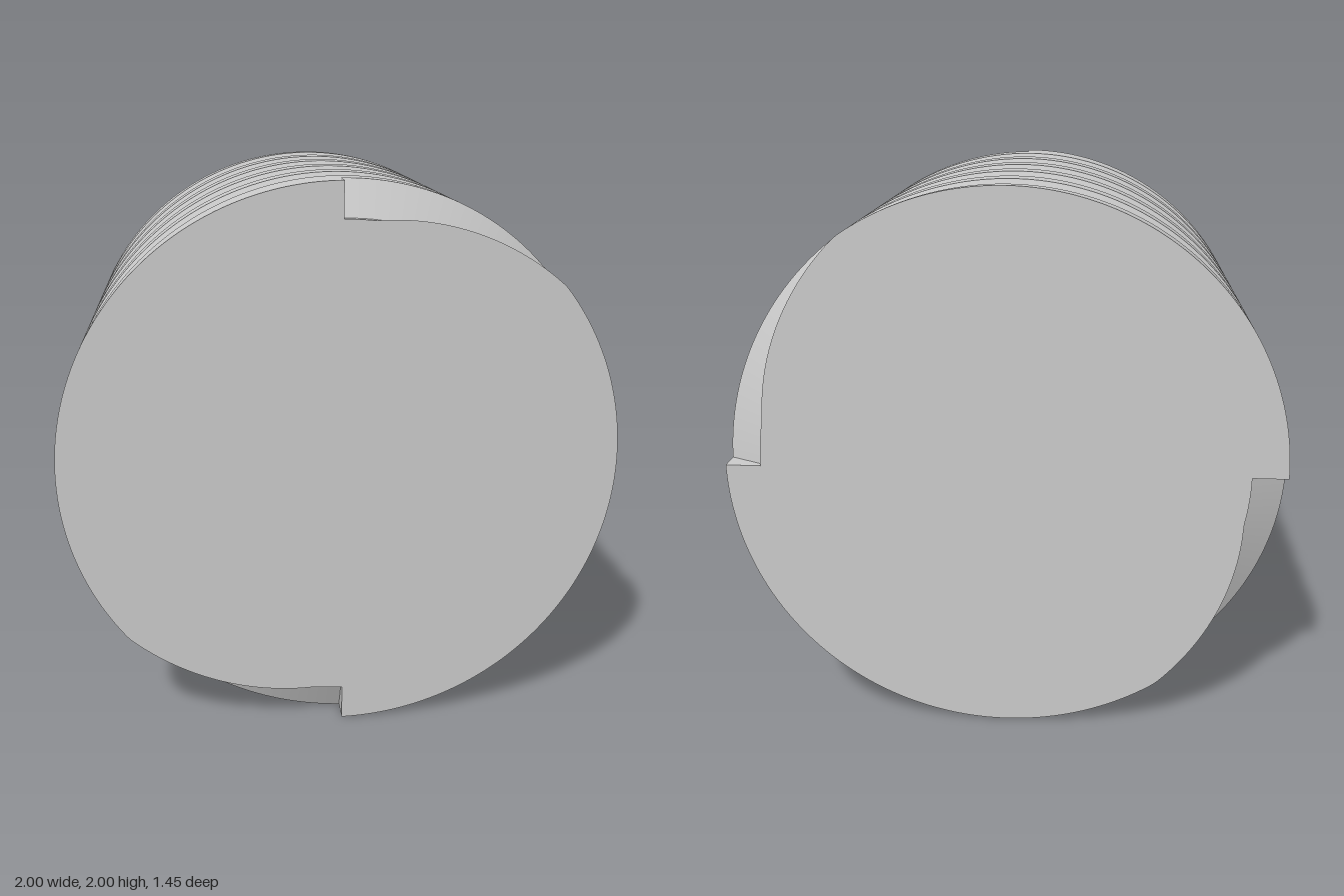
import * as THREE from 'three';
import { toCreasedNormals } from 'three/addons/utils/BufferGeometryUtils.js';

const H = 0.725;        // half length along z
const CREST = 1;        // outer radius
const ROOT = 0.873;     // radius at the groove floor
const PITCH = 0.262;    // distance between neighbouring grooves (two starts)
const TOP_W = 0.082;    // half width of a groove at the crest
const FLOOR_W = 0.018;  // half width of a groove at its floor
const START = 0.717;    // z of the groove centre where it starts
const STEPS = 64;       // steps per quarter turn

const clamp = THREE.MathUtils.clamp;
const centre = (k, phi) => START - PITCH * (k + phi / Math.PI);

// Radius of the body at a given z, with the first `count` grooves cut in
function radiusAt(z, phi, count) {
  let r = CREST;
  for (let k = 0; k < count; k++) {
    const t = clamp((TOP_W - Math.abs(z - centre(k, phi))) / (TOP_W - FLOOR_W), 0, 1);
    r = Math.min(r, CREST - (CREST - ROOT) * t);
  }
  return r;
}

// The four corners of one groove, clipped to the ends of the body
function grooveCorners(k, phi, count) {
  return [TOP_W, FLOOR_W, -FLOOR_W, -TOP_W].map((d) => {
    const z = clamp(centre(k, phi) + d, -H, H);
    return { z, r: radiusAt(z, phi, count) };
  });
}

// Lengthwise section of the surface, from front to back
function section(phi, count) {
  const pts = [{ z: H, r: radiusAt(H, phi, count) }];
  for (let k = 0; k < count; k++) pts.push(...grooveCorners(k, phi, count));
  pts.push({ z: -H, r: radiusAt(-H, phi, count) });
  return pts;
}

// phi runs clockwise from the top, seen from the front
const place = ({ z, r }, phi) => new THREE.Vector3(r * Math.sin(phi), 1 + r * Math.cos(phi), z);

// Collects triangles and skips the collapsed ones
function makeSurface() {
  const pos = [];
  const u = new THREE.Vector3(), v = new THREE.Vector3();
  return {
    tri(a, b, c) {
      if (u.subVectors(b, a).cross(v.subVectors(c, a)).length() < 1e-8) return;
      for (const p of [a, b, c]) pos.push(p.x, p.y, p.z);
    },
    mesh(name, material) {
      const g = new THREE.BufferGeometry();
      g.setAttribute('position', new THREE.Float32BufferAttribute(pos, 3));
      const mesh = new THREE.Mesh(toCreasedNormals(g, Math.PI / 6), material);
      mesh.name = name;
      return mesh;
    },
  };
}

export function createModel() {
  const group = new THREE.Group();
  group.name = 'threadedPlug';
  const material = new THREE.MeshStandardMaterial({ color: 0xcccccc });
  const thread = makeSurface(), ends = makeSurface(), stops = makeSurface();
  const frontMid = new THREE.Vector3(0, 1, H), backMid = new THREE.Vector3(0, 1, -H);

  // Flat wall closing a groove where it stops
  function stopWall(k, phi, turn, count, flip) {
    const low = grooveCorners(k, phi, count);
    for (let i = 0; i < 3; i++) {
      const a = place(low[i], phi + turn), b = place(low[i + 1], phi + turn);
      const A = place({ z: low[i].z, r: CREST }, phi + turn);
      const B = place({ z: low[i + 1].z, r: CREST }, phi + turn);
      if (flip) { stops.tri(a, A, b); stops.tri(A, B, b); }
      else { stops.tri(a, b, A); stops.tri(A, b, B); }
    }
  }

  // Two identical halves, one for each thread start
  for (const turn of [0, Math.PI]) {
    // The last groove stops at the quarter turn
    [6, 5].forEach((count, quarter) => {
      for (let j = 0; j < STEPS; j++) {
        const p0 = (quarter + j / STEPS) * Math.PI / 2;
        const p1 = (quarter + (j + 1) / STEPS) * Math.PI / 2;
        const s0 = section(p0, count).map((p) => place(p, p0 + turn));
        const s1 = section(p1, count).map((p) => place(p, p1 + turn));
        const last = s0.length - 1;
        for (let i = 0; i < last; i++) {
          thread.tri(s0[i], s1[i], s0[i + 1]);
          thread.tri(s0[i + 1], s1[i], s1[i + 1]);
        }
        // End faces follow the cut outline
        ends.tri(frontMid, s1[0], s0[0]);
        ends.tri(backMid, s0[last], s1[last]);
      }
    });
    stopWall(0, 0, turn, 6, false);
    stopWall(5, Math.PI / 2, turn, 6, true);
  }

  group.add(
    thread.mesh('threadedSide', material),
    ends.mesh('endFaces', material),
    stops.mesh('grooveStops', material),
  );
  return group;
}
